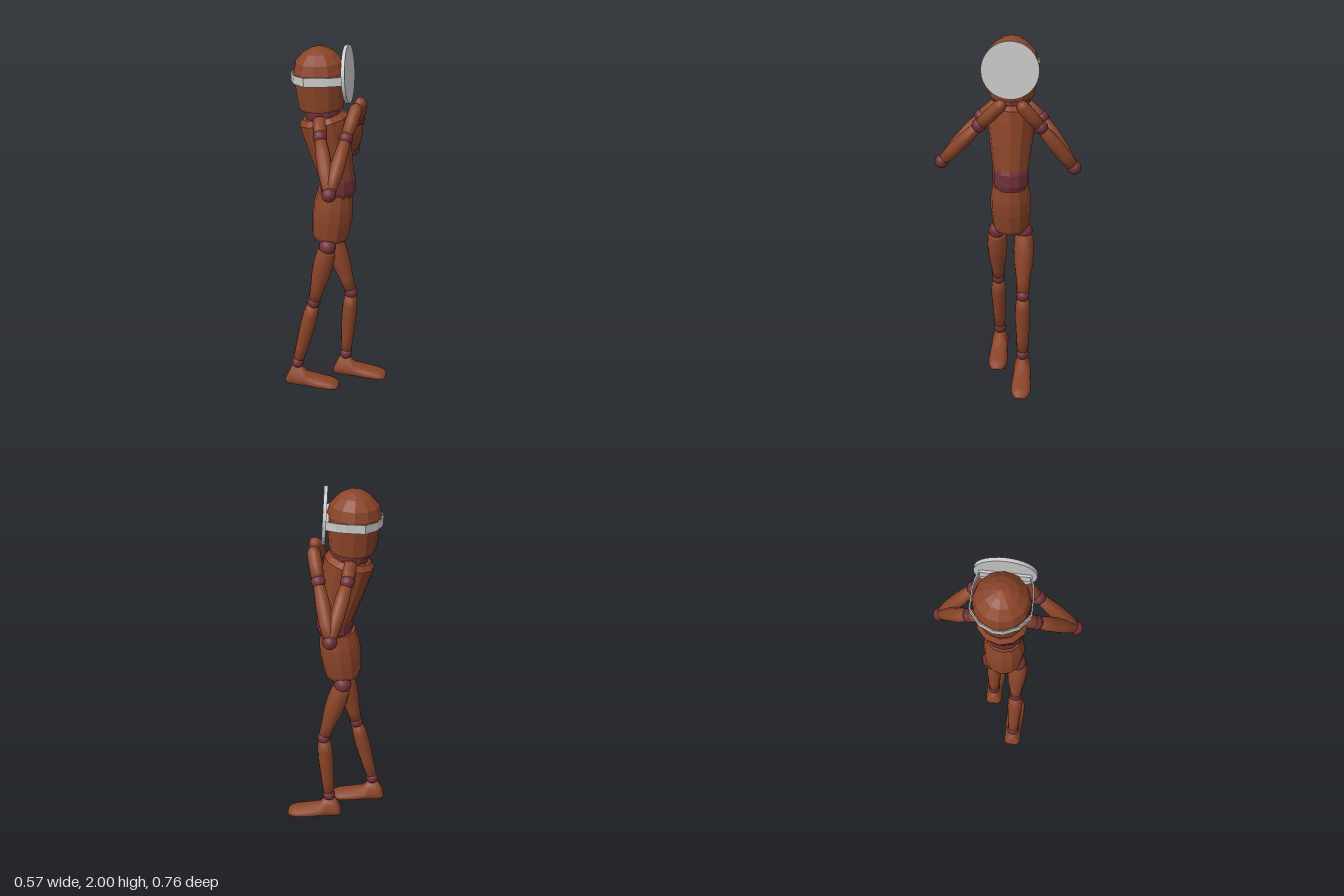
import * as THREE from 'three';

const wood = new THREE.MeshStandardMaterial({ color: 0x8b4428 });
const woodFlat = new THREE.MeshStandardMaterial({ color: 0x8b4428, flatShading: true });
const joint = new THREE.MeshStandardMaterial({ color: 0x703038 });
const jointFlat = new THREE.MeshStandardMaterial({ color: 0x703038, flatShading: true });
const grey = new THREE.MeshStandardMaterial({ color: 0xcccccc, flatShading: true, side: THREE.DoubleSide });
const UP = new THREE.Vector3(0, 1, 0);
const MID_Z = -0.014;

export function createModel() {
  const model = new THREE.Group();

  function add(parent, name, geometry, material) {
    const mesh = new THREE.Mesh(geometry, material);
    mesh.name = name;
    parent.add(mesh);
    return mesh;
  }

  // Turned piece between two points; profile is [fraction of length, radius]
  function turned(parent, name, a, b, profile, material, sides = 12) {
    const from = new THREE.Vector3(...a);
    const dir = new THREE.Vector3(...b).sub(from);
    const len = dir.length();
    const pts = profile.map(([t, r]) => new THREE.Vector2(r, t * len));
    pts.unshift(new THREE.Vector2(0, pts[0].y));
    pts.push(new THREE.Vector2(0, pts[pts.length - 1].y));
    const mesh = add(parent, name, new THREE.LatheGeometry(pts, sides), material);
    mesh.position.copy(from);
    mesh.quaternion.setFromUnitVectors(UP, dir.normalize());
    return mesh;
  }

  function ball(parent, name, p, r) {
    add(parent, name, new THREE.SphereGeometry(r, 14, 10), joint).position.set(...p);
  }

  // Head, neck and trunk
  turned(model, 'head', [-0.08, 1.675, MID_Z], [-0.092, 1.988, MID_Z],
    [[0, 0.115], [0.04, 0.118], [0.4, 0.13], [0.6, 0.135], [0.76, 0.122], [0.9, 0.08], [0.97, 0.042], [1, 0.005]], woodFlat);
  turned(model, 'neck', [-0.065, 1.6, MID_Z], [-0.08, 1.69, MID_Z], [[0, 0.09], [1, 0.092]], jointFlat);
  turned(model, 'chest', [0.003, 1.3, MID_Z], [-0.067, 1.61, MID_Z],
    [[0, 0.093], [0.4, 0.11], [0.8, 0.125], [1, 0.13], [1.08, 0.105]], woodFlat);
  turned(model, 'waist', [0.01, 1.2, MID_Z], [0.005, 1.32, MID_Z],
    [[0, 0.085], [0.25, 0.096], [0.8, 0.096], [1, 0.088]], jointFlat);
  turned(model, 'pelvis', [-0.037, 0.94, MID_Z], [-0.008, 1.215, MID_Z],
    [[0, 0.092], [0.08, 0.1], [0.45, 0.11], [0.7, 0.108], [1, 0.094]], woodFlat);

  // Foot lofted along x from the ankle; sections are [x, half width, bottom, top]
  const sections = [[-0.07, 0.03, 0.018, 0.04], [-0.058, 0.046, 0.014, 0.065], [-0.035, 0.05, 0.012, 0.118],
    [0.022, 0.05, 0.01, 0.115], [0.05, 0.05, 0.01, 0.075], [0.12, 0.056, 0.006, 0.06],
    [0.195, 0.055, 0.004, 0.047], [0.23, 0.043, 0.002, 0.036], [0.243, 0.024, 0.002, 0.02]];
  function footGeometry() {
    const n = 12, pos = [], index = [];
    for (const [x, w, lo, hi] of sections) {
      for (let i = 0; i < n; i++) {
        const a = (i / n) * Math.PI * 2, s = Math.sin(a), c = Math.cos(a);
        const taper = hi > 0.1 && s > 0 ? 1 - 0.35 * s : 1;
        // flat sole, rounded upper
        const y = s < -0.1 ? lo : lo + (hi - lo) * (0.3 + 0.7 * Math.max(0, s));
        pos.push(x, y, Math.sign(c) * Math.abs(c) ** 0.8 * w * taper);
      }
    }
    const last = sections.length - 1;
    for (let k = 0; k < last; k++) {
      for (let i = 0; i < n; i++) {
        const a = k * n + i, b = k * n + (i + 1) % n;
        index.push(a, a + n, b, b, a + n, b + n);
      }
    }
    for (let i = 1; i < n - 1; i++) {
      index.push(0, i, i + 1);
      index.push(last * n, last * n + i + 1, last * n + i);
    }
    const g = new THREE.BufferGeometry();
    g.setAttribute('position', new THREE.Float32BufferAttribute(pos, 3));
    g.setIndex(index);
    g.computeVertexNormals();
    return g;
  }

  // Legs in mid-stride
  const legs = [
    { name: 'rearLeg', z: 0.063, knee: [-0.115, 0.56], ankle: [-0.215, 0.145] },
    { name: 'forwardLeg', z: -0.087, knee: [0.07, 0.56], ankle: [0.043, 0.14] },
  ];
  for (const { name, z, knee, ankle } of legs) {
    const leg = new THREE.Group();
    leg.name = name;
    model.add(leg);
    const hip = [-0.035, 0.915, z], k = [...knee, z], a = [...ankle, z];
    ball(leg, 'hipJoint', hip, 0.047);
    turned(leg, 'thigh', hip, k,
      [[0.06, 0.042], [0.1, 0.052], [0.3, 0.056], [0.5, 0.052], [0.75, 0.039], [0.94, 0.034]], wood);
    ball(leg, 'kneeJoint', k, 0.037);
    turned(leg, 'shin', k, a,
      [[0.05, 0.034], [0.2, 0.042], [0.4, 0.043], [0.7, 0.037], [0.93, 0.032]], wood);
    ball(leg, 'ankleJoint', a, 0.036);
    add(leg, 'foot', footGeometry(), wood).position.set(ankle[0], 0, z);
  }

  // Arms raised, elbows out and hands near the chin
  const arms = [
    { name: 'nearArm', s: 1, elbow: [0.03, 1.347, 0.345], wrist: [0.077, 1.57, 0.142], tip: [0.108, 1.69, 0.03] },
    { name: 'farArm', s: -1, elbow: [0.03, 1.33, -0.347], wrist: [0.088, 1.572, -0.17], tip: [0.113, 1.69, -0.075] },
  ];
  for (const { name, s, elbow, wrist, tip } of arms) {
    const arm = new THREE.Group();
    arm.name = name;
    model.add(arm);
    const shoulder = [-0.055, 1.57, MID_Z + s * 0.157];
    const profile = [[0.08, 0.03], [0.3, 0.037], [0.6, 0.037], [0.93, 0.029]];
    turned(arm, 'shoulderCap', [-0.07, 1.63, MID_Z + s * 0.08], shoulder, [[0, 0.035], [0.9, 0.034]], wood);
    ball(arm, 'shoulderJoint', shoulder, 0.037);
    turned(arm, 'upperArm', shoulder, elbow, profile, wood);
    ball(arm, 'elbowJoint', elbow, 0.037);
    turned(arm, 'forearm', elbow, wrist, profile, wood);
    ball(arm, 'wristJoint', wrist, 0.037);
    turned(arm, 'hand', wrist, tip, [[0.1, 0.031], [0.5, 0.035], [0.95, 0.034], [1.08, 0.026], [1.15, 0.012]], wood);
  }

  // Round plate in front of the face
  const plate = add(model, 'facePlate', new THREE.CylinderGeometry(0.145, 0.145, 0.018, 32), grey);
  plate.position.set(0.058, 1.853, MID_Z);
  plate.rotation.z = -Math.PI / 2 + 0.06;

  // Head band: thin strap from plate edge to plate edge round the back
  const half = [[0.052, 0.118], [0.0, 0.136], [-0.045, 0.142], [-0.14, 0.142], [-0.2, 0.092], [-0.231, 0.024]];
  const path = [...half, ...half.map(([x, z]) => [x, -z]).reverse()];
  const shape = new THREE.Shape();
  path.forEach(([x, z], i) => (i ? shape.lineTo(x, z) : shape.moveTo(x, z)));
  [...path].reverse().forEach(([x, z]) => shape.lineTo(-0.09 + (x + 0.09) * 0.965, z * 0.955));
  const strap = new THREE.ExtrudeGeometry(shape, { depth: 0.044, bevelEnabled: false });
  strap.rotateX(Math.PI / 2);
  const band = add(model, 'headBand', strap, grey);
  band.position.set(0, 1.866, MID_Z);
  band.rotation.z = 0.05;

  // Mount behind the plate
  const mount = add(model, 'plateMount', new THREE.BoxGeometry(0.02, 0.044, 0.23), grey);
  mount.position.set(0.045, 1.848, MID_Z);

  return model;
}
